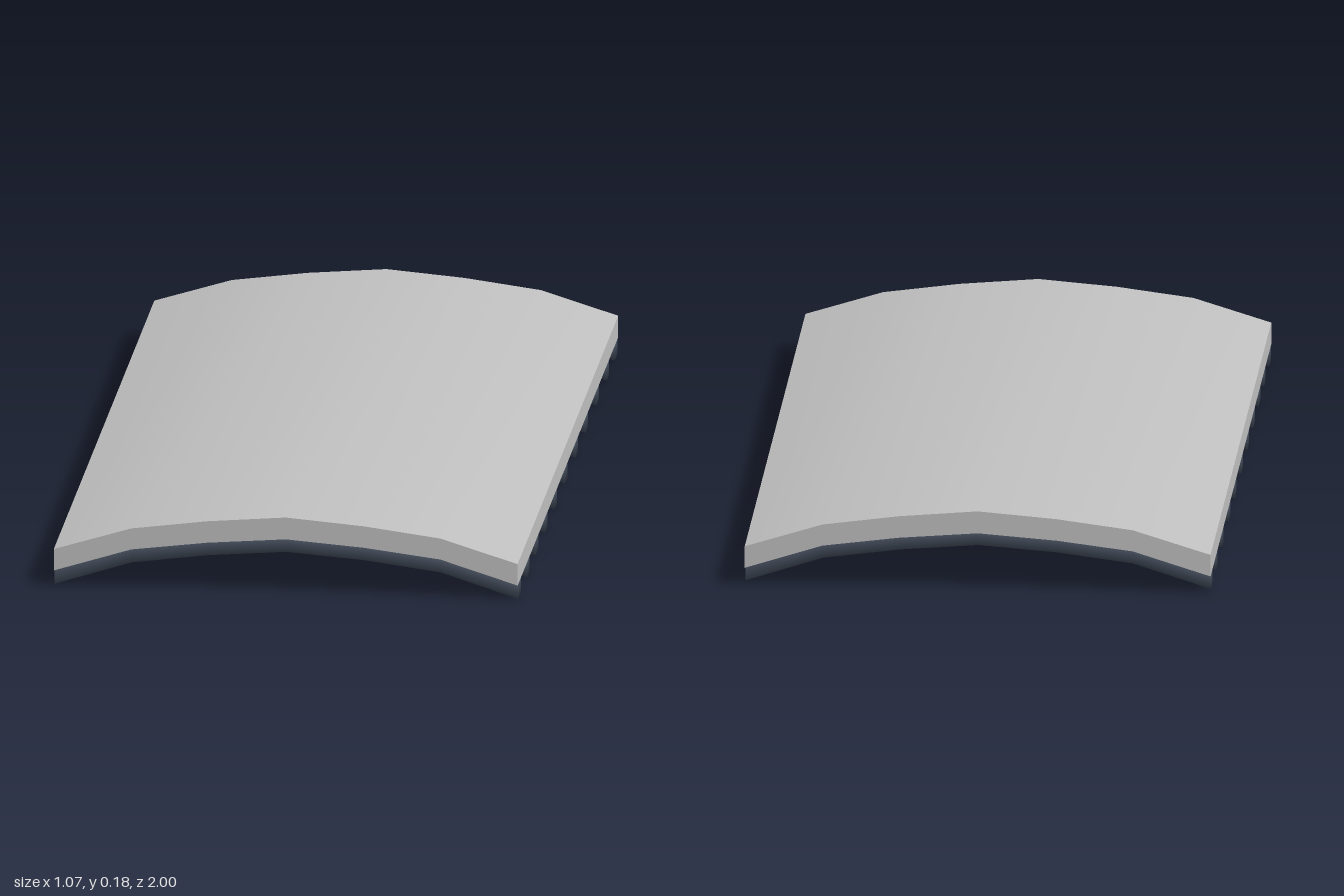
import * as THREE from 'three';
import { toCreasedNormals } from 'three/addons/utils/BufferGeometryUtils.js';

// Arch stations across the width, with three height lines
const X = [-0.533, -0.355, -0.18, 0, 0.18, 0.355, 0.533];
const mirror = (a, b, c, d) => [a, b, c, d, c, b, a];
const TOP = mirror(0.086, 0.141, 0.164, 0.179);
const MID = mirror(0.035, 0.091, 0.113, 0.127);
const LOW = mirror(0, 0.057, 0.08, 0.094);

// The arch rises very slightly towards the back
const rise = (y, z) => y + 0.003 * (1 - z);

// Closed arched strip between two height lines, from zFront to zBack
function archStrip(low, high, zFront, zBack) {
  const pos = [], idx = [];
  X.forEach((x, i) => {
    for (const [y, z] of [[low[i], zFront], [high[i], zFront], [high[i], zBack], [low[i], zBack]]) {
      pos.push(x, rise(y, z), z);
    }
  });
  for (let i = 0; i < X.length - 1; i++) {
    for (let k = 0; k < 4; k++) {
      const a = i * 4 + k, d = i * 4 + (k + 1) % 4;
      idx.push(a, a + 4, d + 4, a, d + 4, d);
    }
  }
  const e = (X.length - 1) * 4;
  idx.push(0, 1, 2, 0, 2, 3, e, e + 2, e + 1, e, e + 3, e + 2);
  const g = new THREE.BufferGeometry();
  g.setAttribute('position', new THREE.Float32BufferAttribute(pos, 3));
  g.setIndex(idx);
  g.computeVertexNormals();
  return g;
}

export function createModel() {
  const panelGrey = new THREE.MeshStandardMaterial({ name: 'panelGrey', color: 0xbfbfbf });
  const ribSlate = new THREE.MeshStandardMaterial({ name: 'ribSlate', color: 0x414a58 });
  const model = new THREE.Group();
  model.name = 'archedRoof';

  // Curved roof panel with sharp edges
  const panel = new THREE.Mesh(toCreasedNormals(archStrip(MID, TOP, 1, -1), Math.PI / 6), panelGrey);
  panel.name = 'roofPanel';
  model.add(panel);

  // Soft-shaded ribs under the panel, unevenly spaced
  const ribs = new THREE.Group();
  ribs.name = 'ribs';
  const ribZ = [0.963, 0.788, 0.613, 0.43, 0.24, 0.035, -0.175, -0.373, -0.595, -0.795, -0.955];
  ribZ.forEach((z, i) => {
    const rib = new THREE.Mesh(archStrip(LOW, MID, z + 0.026, z - 0.026), ribSlate);
    rib.name = `rib${i + 1}`;
    ribs.add(rib);
  });
  model.add(ribs);
  return model;
}
